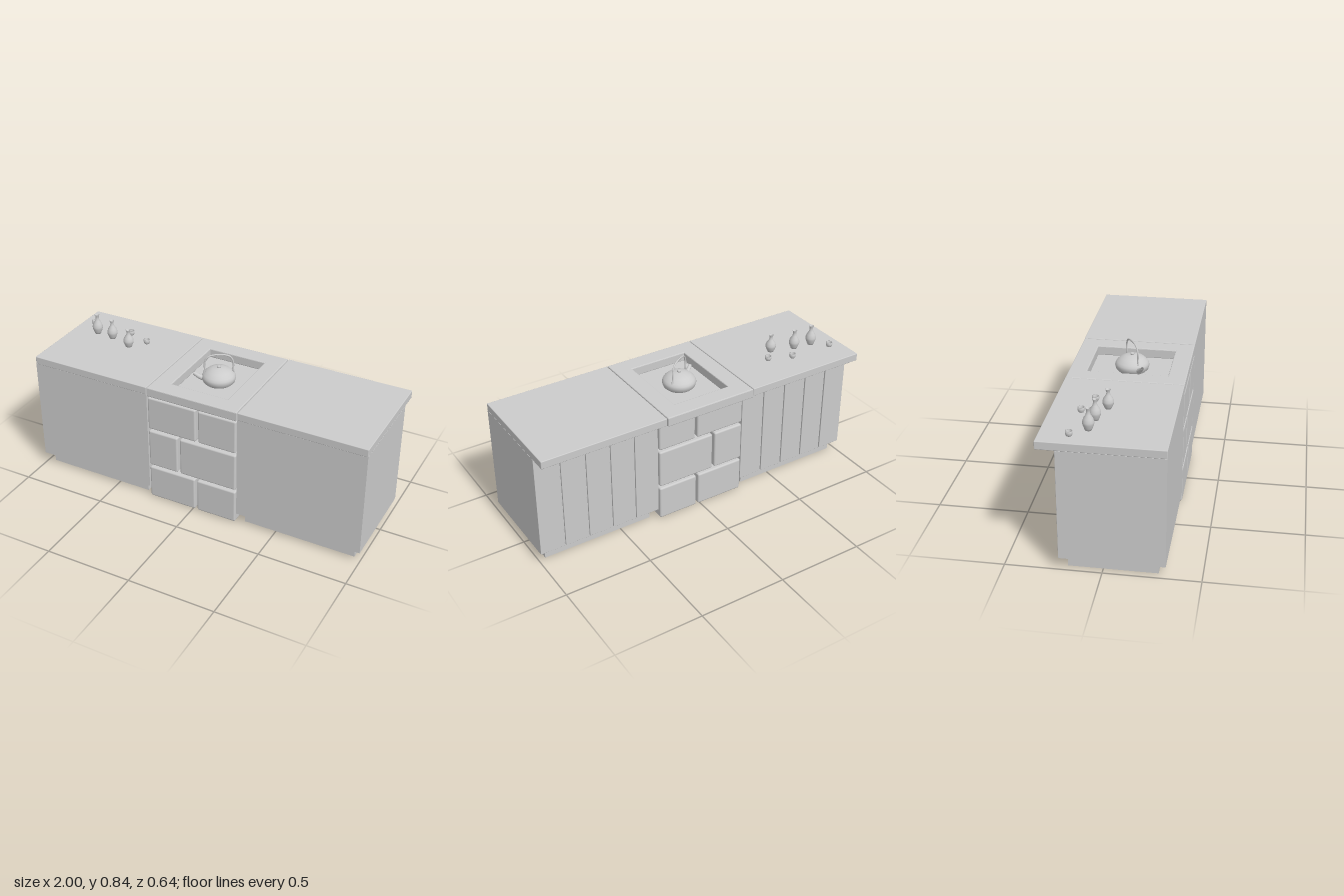
import * as THREE from 'three';
import { RoundedBoxGeometry } from 'three/addons/geometries/RoundedBoxGeometry.js';

const grey = new THREE.MeshStandardMaterial({ color: 0xcccccc });
const greyDouble = new THREE.MeshStandardMaterial({ color: 0xcccccc, side: THREE.DoubleSide });

function add(parent, name, geometry, material = grey) {
  const mesh = new THREE.Mesh(geometry, material);
  mesh.name = name;
  parent.add(mesh);
  return mesh;
}

// Rounded box from its limits
function block(parent, name, x0, x1, y0, y1, z0, z1, r) {
  const mesh = add(parent, name, new RoundedBoxGeometry(x1 - x0, y1 - y0, z1 - z0, 2, r));
  mesh.position.set((x0 + x1) / 2, (y0 + y1) / 2, (z0 + z1) / 2);
  return mesh;
}

// Rectangle outline in plan; the path's y is -z
function rect(path, x0, x1, z0, z1) {
  path.moveTo(x0, -z1);
  path.lineTo(x1, -z1);
  path.lineTo(x1, -z0);
  path.lineTo(x0, -z0);
  path.closePath();
  return path;
}

// Upright frame: outer rectangle with a rectangular hole
function frame(parent, name, outer, inner, y0, y1, bevel = 0) {
  const b = bevel;
  const shape = rect(new THREE.Shape(), outer[0] + b, outer[1] - b, outer[2] + b, outer[3] - b);
  shape.holes.push(rect(new THREE.Path(), inner[0] - b, inner[1] + b, inner[2] - b, inner[3] + b));
  const geometry = new THREE.ExtrudeGeometry(shape, {
    depth: y1 - y0 - 2 * b, bevelEnabled: b > 0, bevelSize: b, bevelThickness: b, bevelSegments: 2,
  });
  geometry.rotateX(-Math.PI / 2);
  geometry.translate(0, y0 + b, 0);
  return add(parent, name, geometry);
}

function lathe(points, segments = 28) {
  return new THREE.LatheGeometry(points.map(([r, y]) => new THREE.Vector2(r, y)), segments);
}

function makeCabinet(side) {
  const g = new THREE.Group();
  g.name = side > 0 ? 'leftCabinet' : 'rightCabinet';
  const span = (a, b) => (side > 0 ? [a, b] : [-b, -a]);
  const [x0, x1] = span(0.275, 1);
  const [k0, k1] = span(0.31, 0.96);
  // Hollow carcass, open underneath, on a recessed plinth
  frame(g, 'carcass', [x0, x1, -0.212, 0.319], [k0 + 0.006, k1 - 0.006, -0.174, 0.274], 0.067, 0.676);
  frame(g, 'plinth', [k0, k1, -0.18, 0.28], [k0 + 0.006, k1 - 0.006, -0.174, 0.274], 0, 0.067);
  // Back boards with narrow grooves between them
  const width = (x1 - x0) / 5;
  for (let i = 0; i < 5; i++) {
    const a = x0 + i * width;
    block(g, 'backBoard', a + (i ? 0.004 : 0), a + width - (i < 4 ? 0.004 : 0), 0.067, 0.676, -0.222, -0.21, 0.002);
  }
  block(g, 'countertop', x0, x1, 0.675, 0.72, -0.32, 0.32, 0.004);
  return g;
}

function makeHearth() {
  const g = new THREE.Group();
  g.name = 'hearth';
  // Three courses of full-depth stones: bottom, top, joint start, joint end
  const courses = [
    [0.006, 0.206, 0.016, 0.03],
    [0.22, 0.446, -0.09, -0.075],
    [0.46, 0.66, 0.025, 0.04],
  ];
  for (const [y0, y1, a, b] of courses) {
    block(g, 'stone', -0.27, a, y0, y1, -0.228, 0.32, 0.01);
    block(g, 'stone', b, 0.267, y0, y1, -0.228, 0.32, 0.01);
  }
  // Slab with a rectangular fire pit
  frame(g, 'hearthSlab', [-0.272, 0.27, -0.32, 0.32], [-0.172, 0.17, -0.22, 0.22], 0.666, 0.72, 0.005);
  block(g, 'pitFloor', -0.18, 0.178, 0.65, 0.667, -0.228, 0.228, 0.002);
  return g;
}

function makeKettle() {
  const g = new THREE.Group();
  g.name = 'kettle';
  add(g, 'kettleBody', lathe([
    [0, 0.664], [0.075, 0.664], [0.089, 0.678], [0.095, 0.698], [0.092, 0.71],
    [0.085, 0.722], [0.064, 0.741], [0.035, 0.753], [0, 0.756],
  ], 36));
  add(g, 'lidKnob', lathe([[0.006, 0.754], [0.011, 0.758], [0.011, 0.764], [0.008, 0.767], [0, 0.767]], 16));

  // Arched handle along the spout direction
  const arch = [[-0.084, 0.722], [-0.078, 0.745], [-0.079, 0.785], [-0.063, 0.82], [-0.03, 0.833]];
  const points = [...arch, ...arch.slice().reverse().map(([x, y]) => [-x, y])]
    .map(([x, y]) => new THREE.Vector3(x, y, 0));
  add(g, 'handle', new THREE.TubeGeometry(new THREE.CatmullRomCurve3(points), 48, 0.005, 8));

  // Spout tapering toward its tip
  const path = new THREE.CatmullRomCurve3([
    new THREE.Vector3(0.08, 0.692, 0), new THREE.Vector3(0.108, 0.704, 0), new THREE.Vector3(0.14, 0.728, 0),
  ]);
  const steps = 10, sides = 12;
  const spout = new THREE.TubeGeometry(path, steps, 0.016, sides);
  const pos = spout.attributes.position, v = new THREE.Vector3();
  for (let i = 0; i < pos.count; i++) {
    const t = Math.floor(i / (sides + 1)) / steps;
    const centre = path.getPointAt(t);
    v.fromBufferAttribute(pos, i).sub(centre).multiplyScalar(1 - 0.45 * t).add(centre);
    pos.setXYZ(i, v.x, v.y, v.z);
  }
  spout.computeVertexNormals();
  add(g, 'spout', spout, greyDouble);
  g.rotation.y = Math.atan2(-0.52, -0.85);
  return g;
}

function makeTableware() {
  const g = new THREE.Group();
  g.name = 'tableware';
  const bottle = lathe([
    [0, 0], [0.017, 0], [0.022, 0.012], [0.029, 0.032], [0.03, 0.045], [0.024, 0.064], [0.013, 0.082],
    [0.009, 0.096], [0.01, 0.108], [0.014, 0.117], [0.012, 0.118], [0.007, 0.108], [0, 0.1],
  ]);
  for (const [x, z, s] of [[-0.845, -0.085, 1], [-0.735, -0.072, 0.96], [-0.6, -0.03, 0.89]]) {
    const mesh = add(g, 'bottle', bottle);
    mesh.position.set(x, 0.72, z);
    mesh.scale.set(1, s, 1);
  }
  const cup = lathe([
    [0, 0], [0.013, 0], [0.017, 0.007], [0.019, 0.016], [0.018, 0.026],
    [0.014, 0.026], [0.014, 0.015], [0.01, 0.005], [0, 0.004],
  ], 20);
  for (const [x, z] of [[-0.918, -0.166], [-0.66, -0.157], [-0.526, -0.108]]) {
    add(g, 'cup', cup).position.set(x, 0.72, z);
  }
  return g;
}

export function createModel() {
  const model = new THREE.Group();
  model.name = 'kitchenCounter';
  model.add(makeCabinet(1), makeCabinet(-1), makeHearth(), makeKettle(), makeTableware());
  return model;
}
